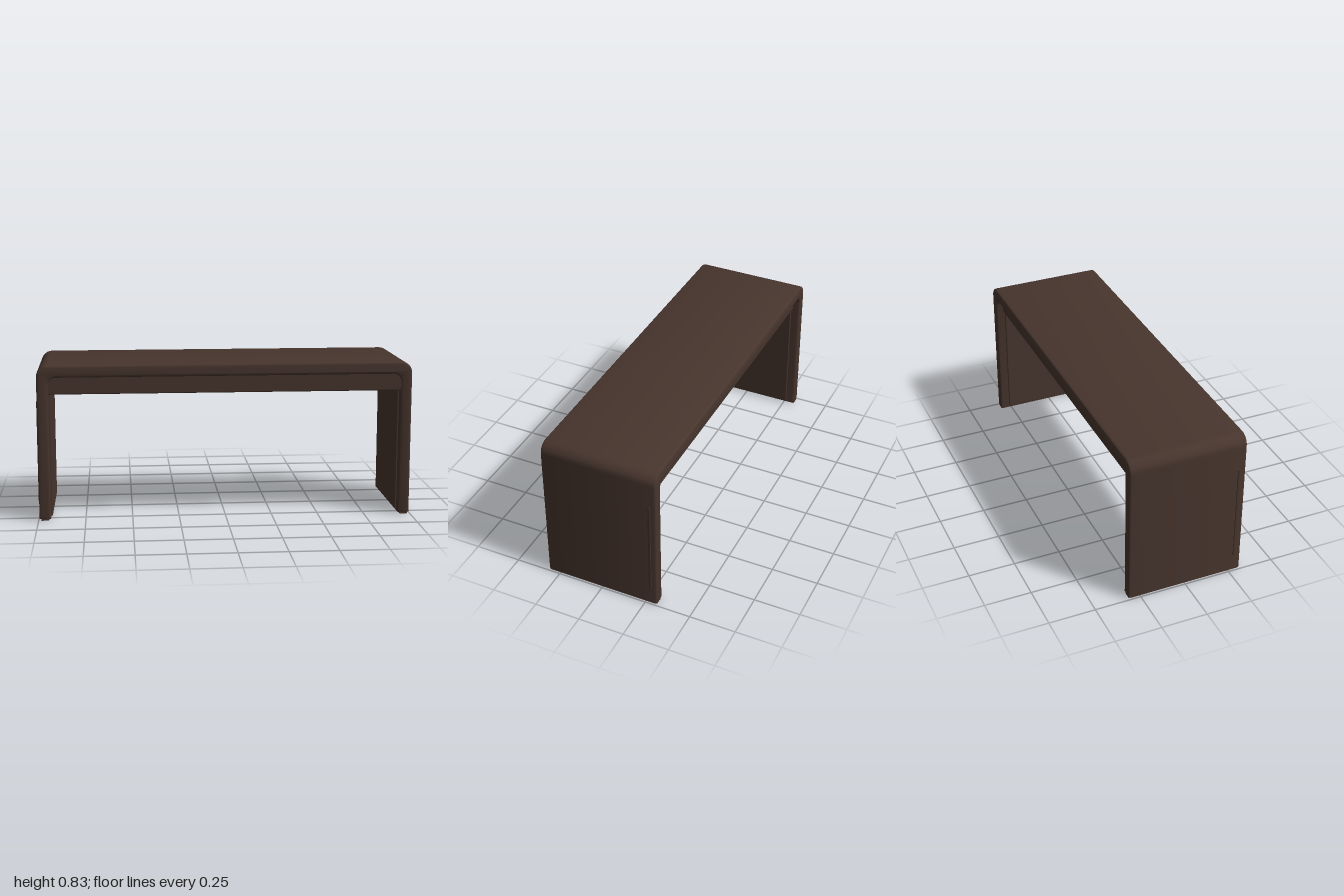
import * as THREE from 'three';
import { toCreasedNormals } from 'three/addons/utils/BufferGeometryUtils.js';
import { RoundedBoxGeometry } from 'three/addons/geometries/RoundedBoxGeometry.js';

const W = 0.995, TOP = 0.83, FOOT = 0.007, DEPTH = 0.63;
const INNER = 0.935, UNDER = 0.765; // inside of the outer shell

// One continuous arch outline with rounded outer and inner corners
function archShape() {
  const R = 0.06, r = 0.04;
  const s = new THREE.Shape();
  s.moveTo(-W, FOOT);
  s.lineTo(-INNER, FOOT);
  s.lineTo(-INNER, UNDER - r);
  s.absarc(-INNER + r, UNDER - r, r, Math.PI, Math.PI / 2, true);
  s.lineTo(INNER - r, UNDER);
  s.absarc(INNER - r, UNDER - r, r, Math.PI / 2, 0, true);
  s.lineTo(INNER, FOOT);
  s.lineTo(W, FOOT);
  s.lineTo(W, TOP - R);
  s.absarc(W - R, TOP - R, R, 0, Math.PI / 2, false);
  s.lineTo(-W + R, TOP);
  s.absarc(-W + R, TOP - R, R, Math.PI / 2, Math.PI, false);
  return s;
}

export function createModel() {
  const group = new THREE.Group();
  const wood = new THREE.MeshStandardMaterial({ color: 0x47352d });
  wood.name = 'darkBrownWood';

  const add = (name, geometry, x, y, z) => {
    const mesh = new THREE.Mesh(geometry, wood);
    mesh.name = name;
    mesh.position.set(x, y, z);
    group.add(mesh);
  };

  // Outer shell: top and both side panels in one softened piece
  const bevel = 0.012;
  const shell = new THREE.ExtrudeGeometry(archShape(), {
    depth: DEPTH - 2 * bevel, bevelEnabled: true, bevelThickness: bevel,
    bevelSize: bevel, bevelOffset: -bevel, bevelSegments: 3, curveSegments: 10,
  });
  shell.translate(0, 0, -DEPTH / 2 + bevel);
  add('deskShell', toCreasedNormals(shell, 0.7), 0, 0, 0);

  // Apron under the top: almost flush in front, set back behind
  const front = 0.309, back = -0.275;
  add('apron', new RoundedBoxGeometry(1.9, 0.12, front - back, 2, 0.006),
    0, 0.737, (front + back) / 2);

  for (const side of [-1, 1]) {
    // Lining on the inside of each leg
    add('legLining', new RoundedBoxGeometry(0.03, 0.7, 0.53, 2, 0.004),
      side * 0.941, 0.365, 0);
    // Narrow upright trim on the outer face
    add('sideTrim', new RoundedBoxGeometry(0.01, 0.54, 0.015, 2, 0.004),
      side * 0.9935, 0.37, -side * 0.278);
    // Small corner feet
    for (const end of [-1, 1]) {
      add('foot', new THREE.BoxGeometry(0.04, 0.015, 0.022),
        side * 0.965, 0.0075, end * 0.3);
    }
  }
  return group;
}
